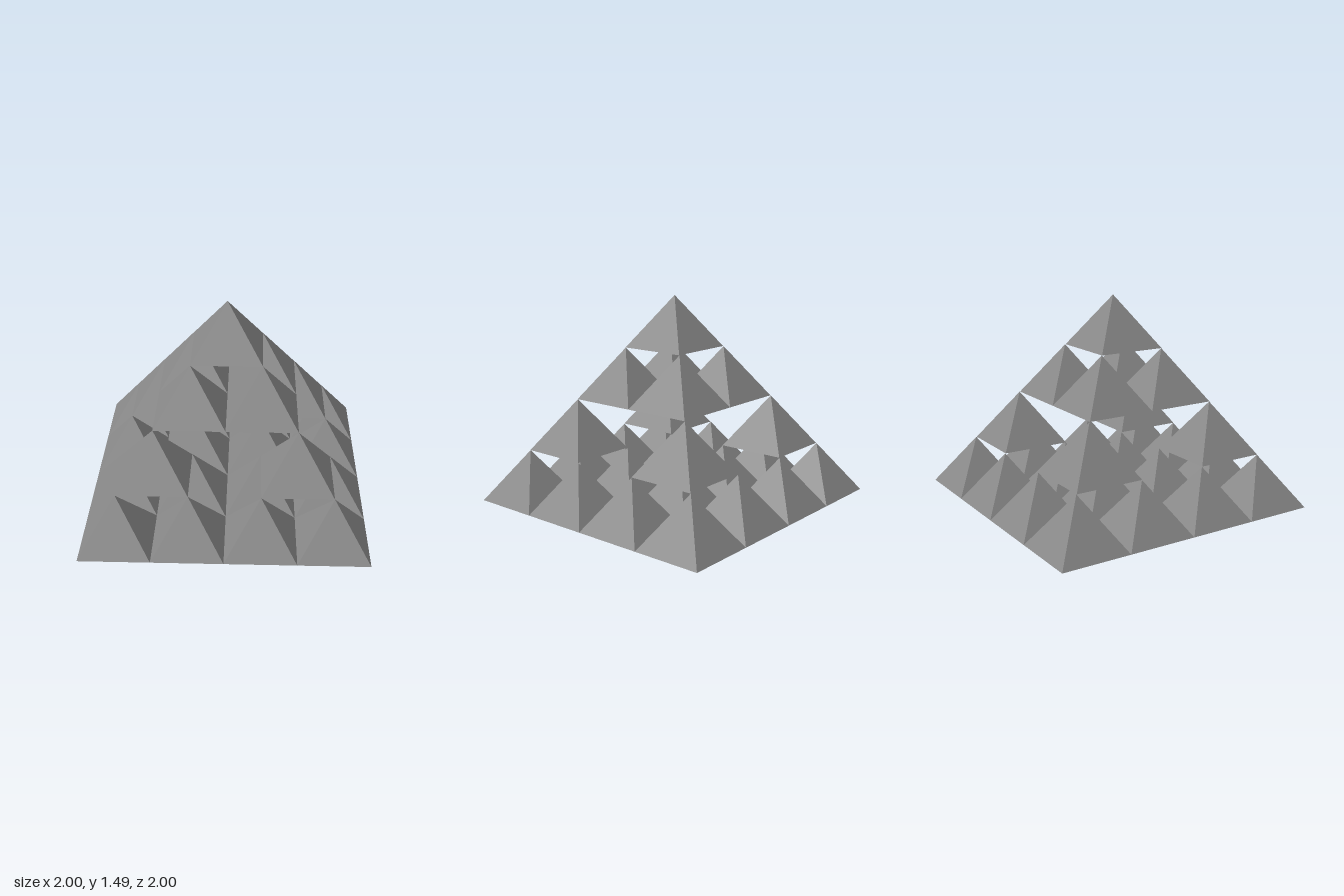
import * as THREE from 'three';

const BASE = 2;            // width of the whole pyramid
const HEIGHT = 1.492;      // height of the whole pyramid
const DEPTH = 2;           // number of subdivisions

export function createModel() {
  const group = new THREE.Group();
  group.name = 'fractalPyramid';
  const stone = new THREE.MeshStandardMaterial({ color: 0x888888, flatShading: true });
  stone.name = 'stoneGrey';

  // One square pyramid, standing on y = 0, with its sides facing the axes
  const unit = BASE / 2 ** DEPTH;
  const unitHeight = HEIGHT / 2 ** DEPTH;
  const geometry = new THREE.ConeGeometry(unit / Math.SQRT2, unitHeight, 4, 1);
  geometry.rotateY(Math.PI / 4);
  geometry.translate(0, unitHeight / 2, 0);

  // Each pyramid splits into four at its corners and one on top;
  // the upper one sits very slightly forward
  function build(x, y, z, size, height, depth) {
    if (depth === 0) {
      const mesh = new THREE.Mesh(geometry, stone);
      mesh.name = `pyramid${group.children.length + 1}`;
      mesh.position.set(x, y, z);
      group.add(mesh);
      return;
    }
    const q = size / 4;
    for (const sx of [-1, 1]) {
      for (const sz of [-1, 1]) build(x + sx * q, y, z + sz * q, size / 2, height / 2, depth - 1);
    }
    build(x, y + height / 2, z + size * 0.003, size / 2, height / 2, depth - 1);
  }
  build(0, 0, 0, BASE, HEIGHT, DEPTH);
  return group;
}
